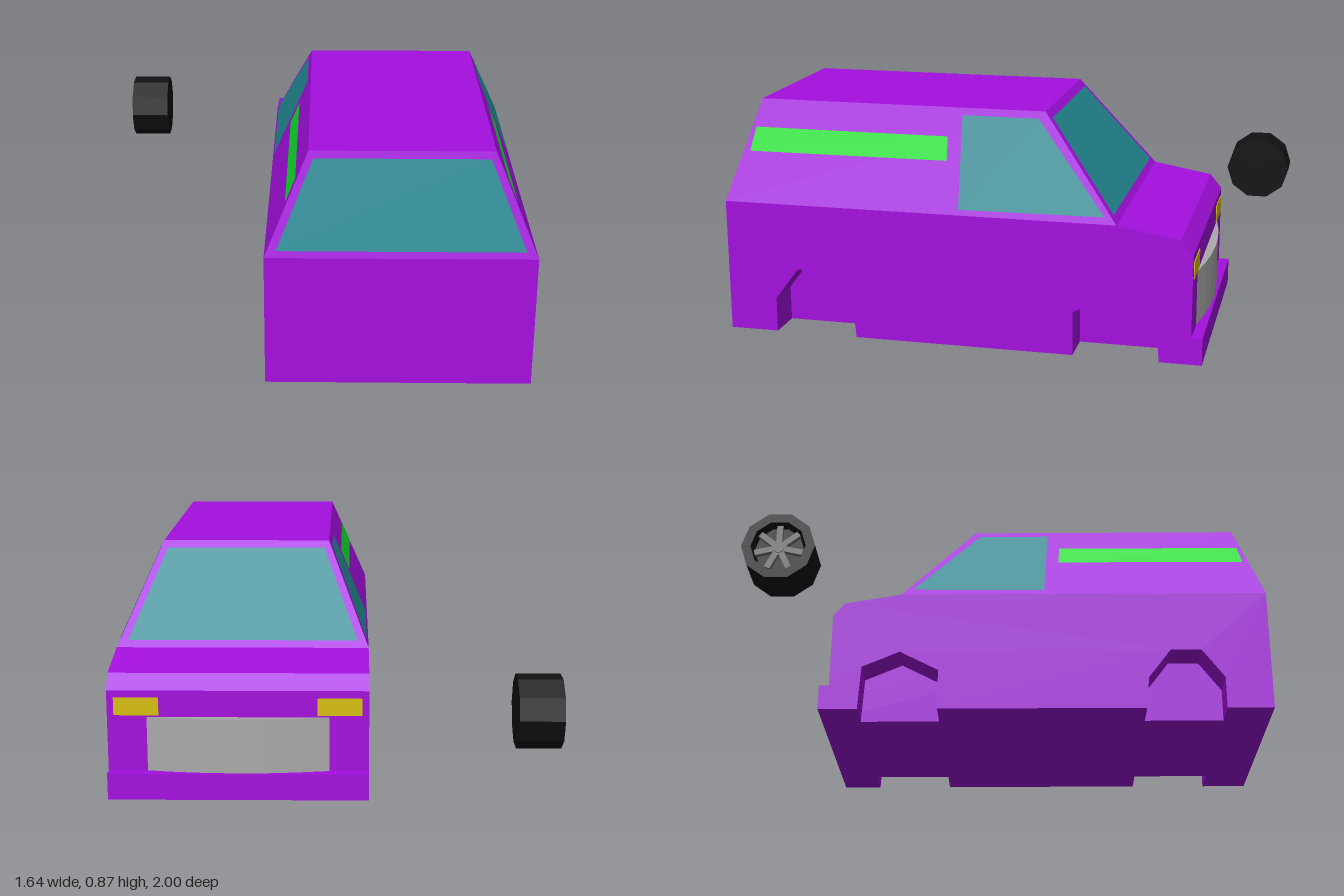
import * as THREE from 'three';

const mat = (color, side = THREE.FrontSide) =>
  new THREE.MeshStandardMaterial({ color, side, flatShading: true });
const paint = mat(0xa50fe0);
const glass = mat(0x238a94, THREE.DoubleSide);
const stripe = mat(0x12e030, THREE.DoubleSide);
const lamp = mat(0xd8c010);
const grilleGrey = mat(0xaaaaaa);
const rubber = mat(0x111111);
const rimGrey = mat(0x777777);

const W = 0.48;        // half width of the body
const ARCH = 0.14;     // depth of the wheel arches
const LIFT = 0.003;    // panels sit just proud of the paint

function add(parent, name, geometry, material, x = 0, y = 0, z = 0) {
  const mesh = new THREE.Mesh(geometry, material);
  mesh.name = name;
  mesh.position.set(x, y, z);
  parent.add(mesh);
  return mesh;
}

// Extrudes a [z, y] side profile across x, from x0 to x1
function slab(points, x0, x1) {
  const shape = new THREE.Shape(points.map(([z, y]) => new THREE.Vector2(-z, y)));
  return new THREE.ExtrudeGeometry(shape, { depth: x1 - x0, bevelEnabled: false })
    .rotateY(Math.PI / 2).translate(x0, 0, 0);
}

// Flat four-cornered panel
function quad(corners) {
  const g = new THREE.BufferGeometry();
  g.setAttribute('position', new THREE.Float32BufferAttribute(corners.flat(), 3));
  g.setIndex([0, 1, 2, 0, 2, 3]);
  g.computeVertexNormals();
  return g;
}

// Slanted cabin surfaces as functions of height
const slope = (y) => (y - 0.5) / 0.365;
const sideX = (y) => W - 0.155 * slope(y) + LIFT;
const screenZ = (y) => -0.48 + 0.29 * slope(y) - LIFT;
const rearZ = (y) => 1 - 0.1 * slope(y) + LIFT;

function makeVan() {
  const van = new THREE.Group();
  van.name = 'van';

  // Lower body: solid core with arched slabs on either side
  const upper = [[-0.795, 0], [-0.795, 0.1], [-0.755, 0.1], [-0.755, 0.405],
    [-0.71, 0.46], [-0.48, 0.5], [1, 0.5], [1, 0]];
  const rearArch = [[0.815, 0], [0.815, 0.13], [0.725, 0.25], [0.603, 0.25], [0.512, 0.13], [0.5, 0]];
  const frontArch = [[-0.325, 0], [-0.325, 0.165], [-0.48, 0.245], [-0.63, 0.18], [-0.64, 0]];
  const arched = [...upper, ...rearArch, ...frontArch];
  add(van, 'bodyCore', slab(upper, -W + ARCH, W - ARCH), paint);
  add(van, 'leftBodySide', slab(arched, W - ARCH, W), paint);
  add(van, 'rightBodySide', slab(arched, -W, -W + ARCH), paint);

  // Cabin: box tapered towards the roof
  const cabin = new THREE.BoxGeometry(2, 1, 2);
  const p = cabin.attributes.position;
  for (let i = 0; i < p.count; i++) {
    const top = p.getY(i) > 0, back = p.getZ(i) > 0;
    p.setXYZ(i, p.getX(i) * (top ? 0.325 : W), top ? 0.865 : 0.5,
      back ? (top ? 0.9 : 1) : (top ? -0.19 : -0.48));
  }
  cabin.computeVertexNormals();
  add(van, 'cabin', cabin, paint);

  // Windscreen and rear window
  const lo = 0.525, hi = 0.84;
  for (const [name, zAt, s] of [['windscreen', screenZ, -1], ['rearWindow', rearZ, 1]]) {
    add(van, name, quad([[-s * 0.438, lo, zAt(lo)], [s * 0.438, lo, zAt(lo)],
      [s * 0.308, hi, zAt(hi)], [-s * 0.308, hi, zAt(hi)]]), glass);
  }

  // Side windows, stripes and headlights, mirrored
  const windowPts = [[0.1, 0.52], [-0.436, 0.525], [-0.168, 0.84], [0.117, 0.84]];
  const stripePts = [[0.925, 0.68], [0.16, 0.682], [0.165, 0.765], [0.91, 0.765]];
  for (const s of [1, -1]) {
    const label = s > 0 ? 'left' : 'right';
    const panel = (pts) => {
      const c = pts.map(([z, y]) => [s * sideX(y), y, z]);
      return quad(s > 0 ? c : c.reverse());
    };
    add(van, label + 'SideWindow', panel(windowPts), glass);
    add(van, label + 'Stripe', panel(stripePts), stripe);
    add(van, label + 'Headlight', new THREE.BoxGeometry(0.165, 0.066, 0.01), lamp, s * 0.373, 0.345, -0.753);
  }

  // Bowed grille
  const bow = new THREE.Shape();
  bow.moveTo(-0.335, 0);
  bow.lineTo(0.335, 0);
  for (let i = 1; i < 6; i++) {
    const t = 1 - i / 3;
    bow.lineTo(0.335 * t, 0.032 * (1 - t * t));
  }
  const grille = new THREE.ExtrudeGeometry(bow, { depth: 0.205, bevelEnabled: false }).rotateX(-Math.PI / 2);
  add(van, 'grille', grille, grilleGrey, 0, 0.1, -0.755);
  return van;
}

function makeWheel() {
  const wheel = new THREE.Group();
  wheel.name = 'wheel';
  const h = 0.08, r = 0.134;

  // Tyre with a dished outer face
  const profile = [[0, -h], [r, -h], [r, h], [0.1, h], [0.09, 0.045], [0, 0.045]]
    .map(([x, y]) => new THREE.Vector2(x, y));
  add(wheel, 'tyre', new THREE.LatheGeometry(profile, 10), rubber);

  // Spokes and hub
  for (let i = 0; i < 7; i++) {
    const spoke = new THREE.BoxGeometry(0.075, 0.02, 0.022)
      .translate(0.052, 0.055, 0).rotateY((i / 7) * Math.PI * 2);
    add(wheel, 'spoke', spoke, rimGrey);
  }
  add(wheel, 'hub', new THREE.CylinderGeometry(0.022, 0.022, 0.025, 10), rimGrey, 0, 0.057, 0);
  wheel.rotation.z = Math.PI / 2;
  return wheel;
}

export function createModel() {
  const model = new THREE.Group();
  model.name = 'vanWithLooseWheel';
  const van = makeVan();
  van.position.x = 0.34;
  const wheel = makeWheel();
  wheel.position.set(-0.74, 0.365, -0.866);
  model.add(van, wheel);
  return model;
}
